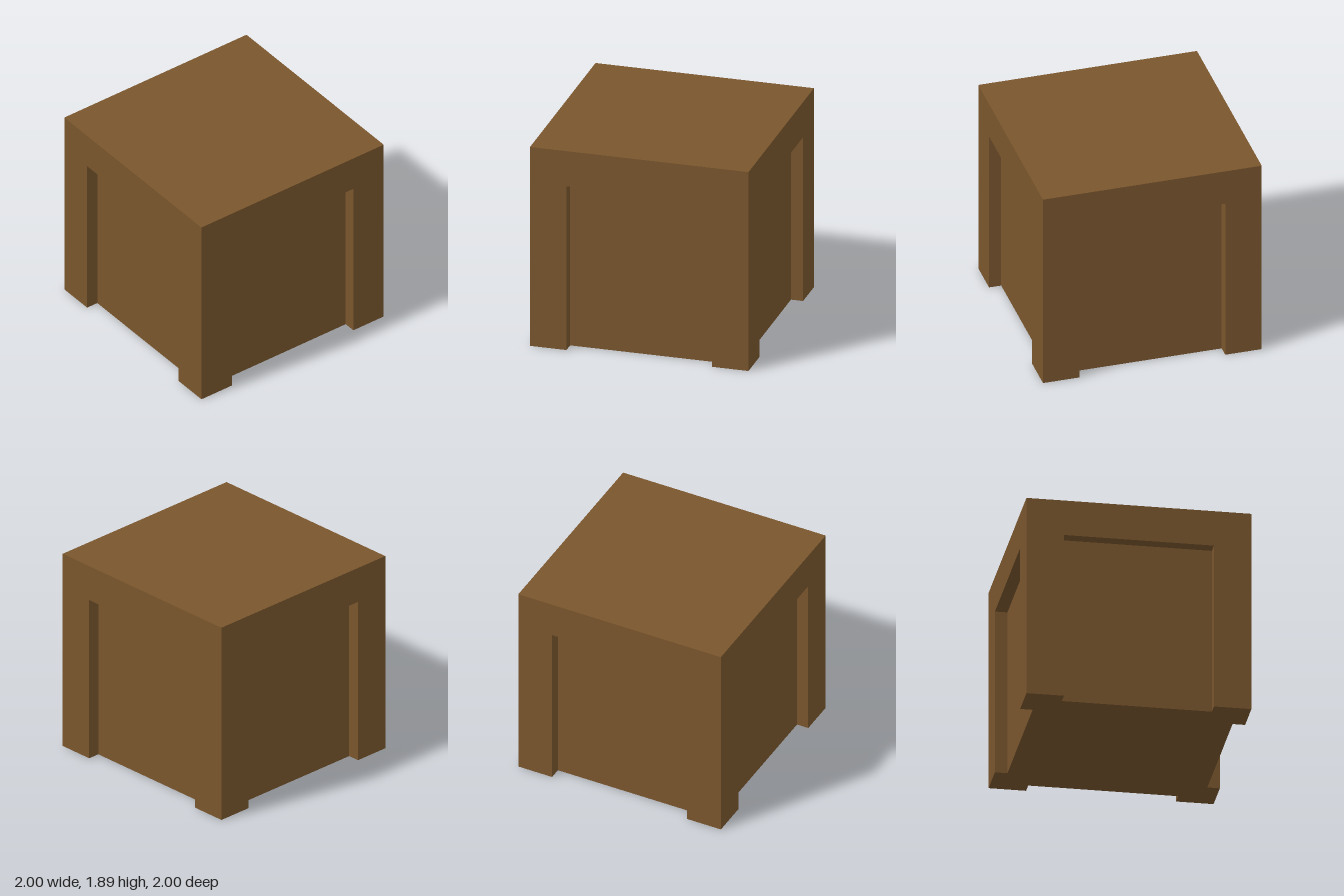
import * as THREE from 'three';

const H = 17 / 9;       // total height
const W = 2 / 3;        // half width of each recess
const R = 14 / 9;       // recess height
const D = 8 / 9;        // distance of the recessed panels from the centre

const wood = new THREE.MeshStandardMaterial({ color: 0x7a562d });
wood.name = 'brown wood';

function add(parent, name, geometry, x = 0, y = 0, z = 0) {
  const mesh = new THREE.Mesh(geometry, wood);
  mesh.name = name;
  mesh.position.set(x, y, z);
  parent.add(mesh);
}

const shapeOf = (points) =>
  new THREE.ShapeGeometry(new THREE.Shape(points.map(([x, y]) => new THREE.Vector2(x, y))));

// One side: two legs and a rail around a recessed panel
function createSide() {
  const side = new THREE.Group();
  const depth = 1 - D, mid = (1 + D) / 2;
  add(side, 'legsAndRail', shapeOf([
    [-1, 0], [-W, 0], [-W, R], [W, R], [W, 0], [1, 0], [1, H], [-1, H],
  ]), 0, 0, 1);
  add(side, 'recessedPanel', new THREE.PlaneGeometry(2 * W, R), 0, R / 2, D);
  add(side, 'railUnderside', new THREE.PlaneGeometry(2 * W, depth).rotateX(Math.PI / 2), 0, R, mid);
  for (const s of [-1, 1]) {
    add(side, 'legInnerFace', new THREE.PlaneGeometry(depth, R).rotateY(-s * Math.PI / 2), s * W, R / 2, mid);
  }
  return side;
}

export function createModel() {
  const model = new THREE.Group();
  model.name = 'woodenBlock';

  // Four equal sides
  ['front', 'left', 'back', 'right'].forEach((name, i) => {
    const side = createSide();
    side.name = name + 'Side';
    side.rotation.y = i * Math.PI / 2;
    model.add(side);
  });

  // Flat top
  add(model, 'top', new THREE.PlaneGeometry(2, 2).rotateX(-Math.PI / 2), 0, H, 0);

  // Underside, notched by the recess on every side
  const outline = [];
  let edge = [[-1, -1], [-W, -1], [-W, -D], [W, -D], [W, -1]];
  for (let i = 0; i < 4; i++) {
    outline.push(...edge);
    edge = edge.map(([x, y]) => [-y, x]);
  }
  add(model, 'underside', shapeOf(outline).rotateX(Math.PI / 2));

  return model;
}
